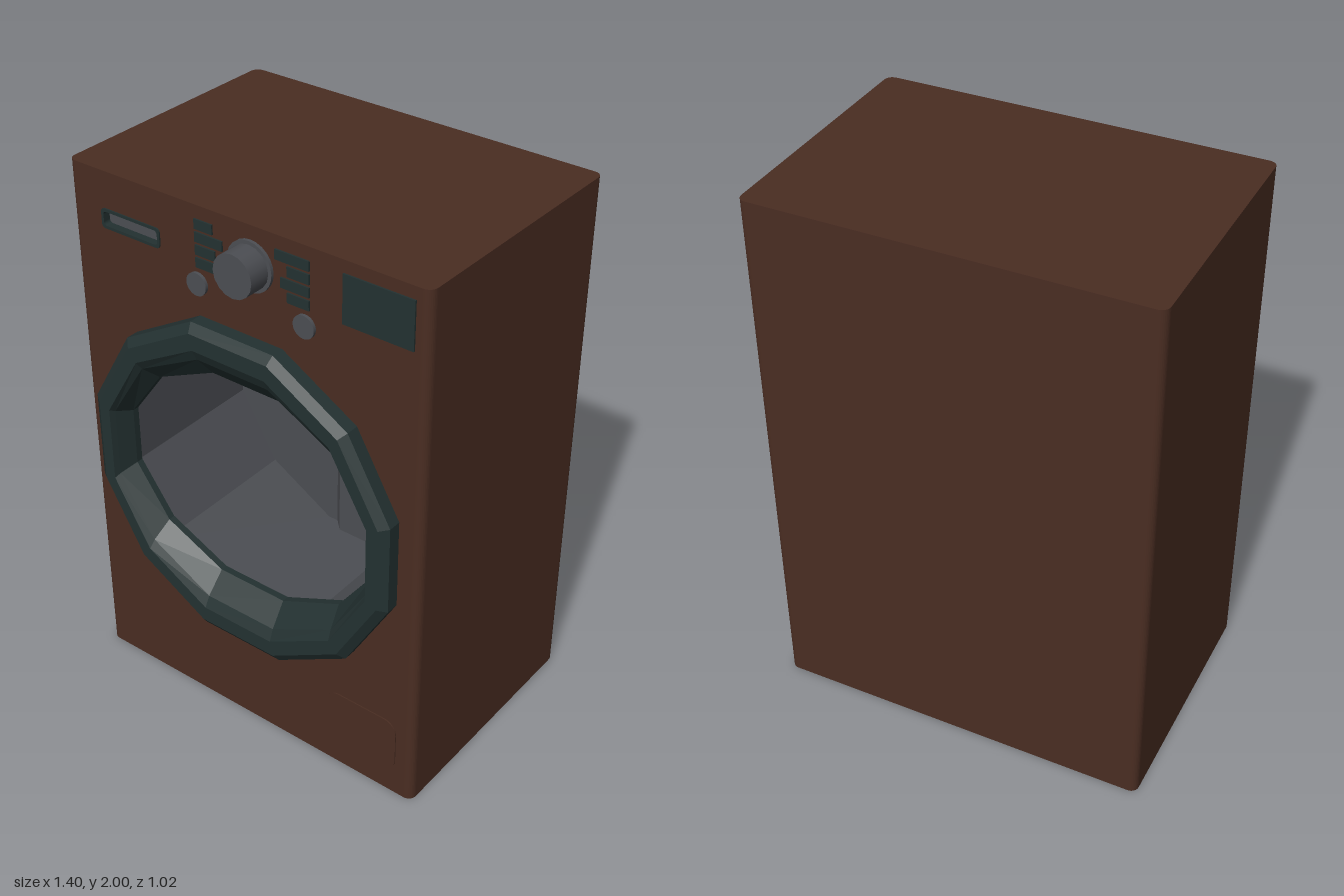
import * as THREE from 'three';

const mat = (name, color, side = THREE.FrontSide) => {
  const m = new THREE.MeshStandardMaterial({ color, side });
  m.name = name;
  return m;
};

export function createModel() {
  const group = new THREE.Group();
  const brown = mat('brown enamel', 0x4a2d22);
  const teal = mat('dark teal', 0x233131);
  const grey = mat('steel grey', 0x4c4e53);
  const FRONT = 0.425, BACK = -0.51, W = 0.7, R = 0.03, SIDES = 12;

  const add = (name, geo, material, x = 0, y = 0, z = 0) => {
    const m = new THREE.Mesh(geo, material);
    m.name = name;
    m.position.set(x, y, z);
    group.add(m);
    return m;
  };
  const extrude = (shape, depth) =>
    new THREE.ExtrudeGeometry(shape, { depth, bevelEnabled: false, curveSegments: 4 });
  const angle = (i) => (i + 0.5) * Math.PI * 2 / SIDES;

  // Rounded rectangle outline centred on (x, y)
  const roundRect = (w, h, r, x = 0, y = 0, Type = THREE.Shape) => {
    const s = new Type(), a = w / 2 - r, b = h / 2 - r;
    s.absarc(x + a, y + b, r, 0, Math.PI / 2);
    s.absarc(x - a, y + b, r, Math.PI / 2, Math.PI);
    s.absarc(x - a, y - b, r, Math.PI, Math.PI * 1.5);
    s.absarc(x + a, y - b, r, Math.PI * 1.5, Math.PI * 2);
    s.closePath();
    return s;
  };

  // Faceted twelve-sided skin through sections [rx, ry, z]
  const loft = (sections) => {
    const pos = [], index = [];
    for (const [rx, ry, z] of sections)
      for (let i = 0; i < SIDES; i++) pos.push(Math.cos(angle(i)) * rx, Math.sin(angle(i)) * ry, z);
    for (let k = 0; k < sections.length - 1; k++)
      for (let i = 0; i < SIDES; i++) {
        const j = (i + 1) % SIDES, a = k * SIDES, b = a + SIDES;
        index.push(a + i, a + j, b + j, a + i, b + j, b + i);
      }
    let g = new THREE.BufferGeometry();
    g.setAttribute('position', new THREE.Float32BufferAttribute(pos, 3));
    g.setIndex(index);
    g = g.toNonIndexed();
    g.computeVertexNormals();
    return g;
  };

  // Cabinet: wrap-around walls open at the front (shape y is -z)
  const wall = new THREE.Shape();
  wall.moveTo(-W + R, -FRONT);
  wall.lineTo(-W + R, -FRONT + 0.02);
  wall.lineTo(-W + R, -BACK - R);
  wall.lineTo(W - R, -BACK - R);
  wall.lineTo(W - R, -FRONT);
  wall.absarc(W - R, -FRONT + R, R, -Math.PI / 2, 0);
  wall.absarc(W - R, -BACK - R, R, 0, Math.PI / 2);
  wall.absarc(-W + R, -BACK - R, R, Math.PI / 2, Math.PI);
  wall.absarc(-W + R, -FRONT + R, R, Math.PI, Math.PI * 1.5);
  add('cabinetWalls', extrude(wall, 1.98).rotateX(-Math.PI / 2), brown, 0, 0.01, 0);
  const lid = extrude(roundRect(2 * W, FRONT - BACK, R), 0.01).rotateX(-Math.PI / 2);
  add('cabinetTop', lid, brown, 0, 1.99, (FRONT + BACK) / 2);
  add('cabinetBottom', lid, brown, 0, 0, (FRONT + BACK) / 2);

  // Front panel with door opening and drawer slot
  const panel = new THREE.Shape();
  panel.moveTo(-W + R, 0.01);
  panel.lineTo(W - R, 0.01);
  panel.lineTo(W - R, 1.99);
  panel.lineTo(-W + R, 1.99);
  panel.closePath();
  const opening = new THREE.Path();
  opening.setFromPoints(Array.from({ length: SIDES }, (_, i) =>
    new THREE.Vector2(Math.cos(angle(i)) * 0.6, 1 + Math.sin(angle(i)) * 0.6)));
  panel.holes.push(opening, roundRect(0.235, 0.06, 0.01, -0.442, 1.835, THREE.Path));
  add('frontPanel', extrude(panel, 0.02), brown, 0, 0, FRONT - 0.02);

  // Door ring with funnel-shaped inside
  add('doorRing', loft([
    [0.637, 0.637, 0.42], [0.637, 0.637, 0.472], [0.605, 0.605, 0.495],
    [0.56, 0.545, 0.495], [0.552, 0.502, 0.475], [0.53, 0.42, 0.41], [0.53, 0.42, 0.385],
  ]), teal, 0, 1, 0);

  // Drum with three sloped ribs on its back wall
  add('drum', loft([
    [0.53, 0.42, 0.385], [0.58, 0.58, 0.385], [0.58, 0.58, -0.22], [0, 0, -0.22],
  ]), grey, 0, 1, 0);
  const ribShape = new THREE.Shape([[-0.11, 0], [0.11, 0], [0.07, 0.04], [-0.07, 0.04]]
    .map(([x, y]) => new THREE.Vector2(x, y)));
  const ribGeo = extrude(ribShape, 0.56).rotateX(Math.PI / 2);
  for (let i = 0; i < 3; i++)
    add('drumRib', ribGeo, grey, 0, 1, -0.22).rotation.z = i * Math.PI * 2 / 3;
  const disc = (r, depth, n = 24) => new THREE.CylinderGeometry(r, r, depth, n).rotateX(Math.PI / 2);
  add('drumHub', disc(0.06, 0.02), teal, 0, 1, -0.177);

  // Dial and round buttons
  add('dialBase', disc(0.087, 0.012), grey, 0.05, 1.865, FRONT + 0.005);
  add('dial', disc(0.075, 0.09, 16), grey, 0.05, 1.865, 0.469);
  for (const x of [-0.167, 0.255]) add('button', disc(0.04, 0.012), grey, x, 1.73, FRONT + 0.005);

  // Programme marks beside the dial
  const plate = (name, x0, x1, y0, y1) => add(name, new THREE.BoxGeometry(x1 - x0, y1 - y0, 0.008),
    teal, (x0 + x1) / 2, (y0 + y1) / 2, FRONT + 0.002);
  const leftEnds = [-0.098, -0.06, -0.09, -0.04], rightStarts = [0.145, 0.19, 0.165, 0.19];
  for (let i = 0; i < 4; i++) {
    const y = 1.937 - i * 0.044;
    plate('programmeMark', -0.17, leftEnds[i], y - 0.017, y + 0.017);
    plate('programmeMark', rightStarts[i], 0.273, y - 0.017, y + 0.017);
  }
  plate('display', 0.396, 0.65, 1.79, 1.957);

  // Drawer handle: frame around a recessed plate
  const frame = roundRect(0.248, 0.07, 0.015, -0.442, 1.835);
  frame.holes.push(roundRect(0.228, 0.05, 0.012, -0.442, 1.835, THREE.Path));
  add('drawerFrame', extrude(frame, 0.037), teal, 0, 0, 0.393);
  add('drawerHandle', new THREE.BoxGeometry(0.235, 0.056, 0.01), grey, -0.442, 1.835, 0.398);

  // Filter hatch
  add('filterHatch', extrude(roundRect(0.29, 0.22, 0.05, 0.485, 0.21), 0.004), brown, 0, 0, FRONT);
  return group;
}
